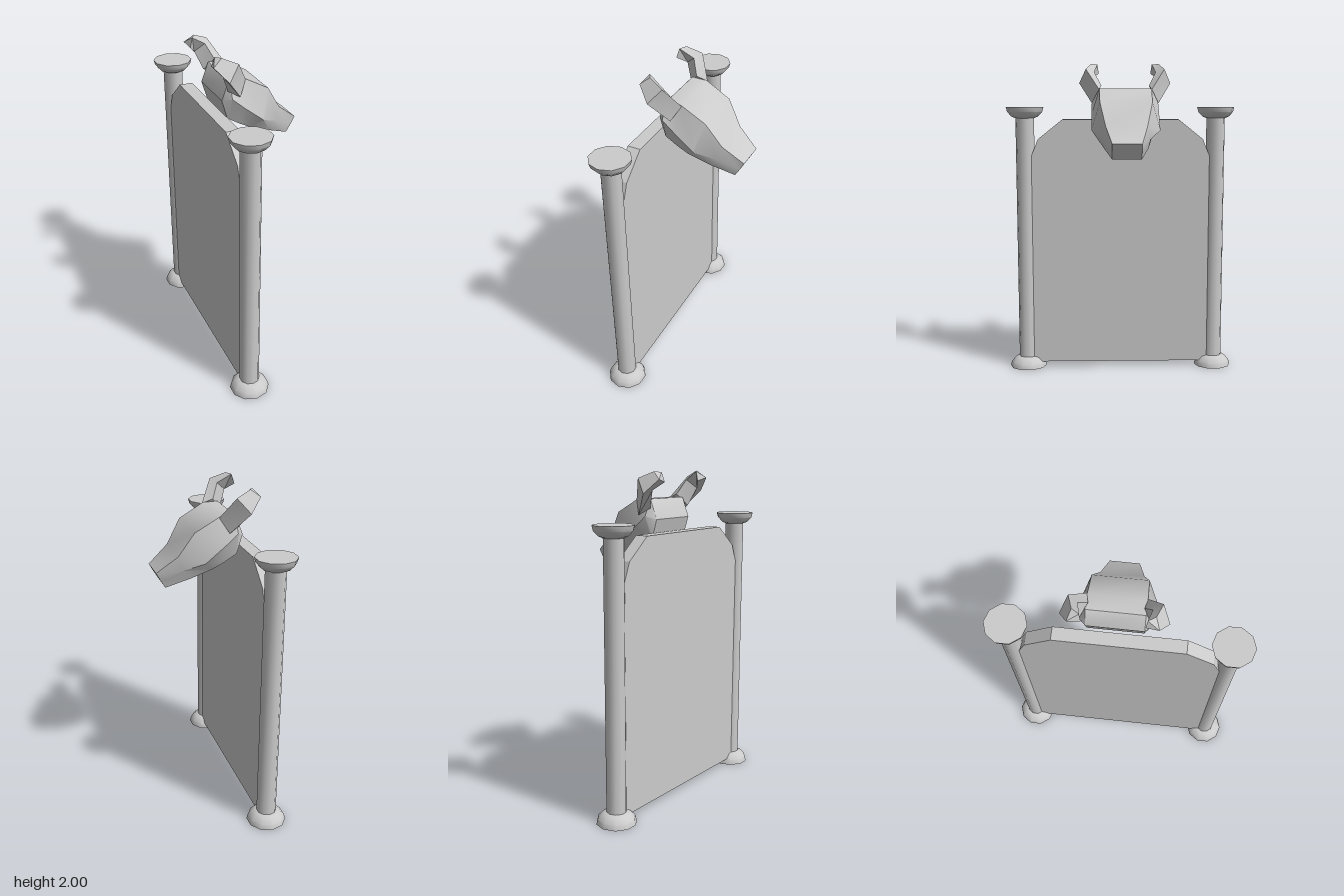
import * as THREE from 'three';
import { toCreasedNormals } from 'three/addons/utils/BufferGeometryUtils.js';

const material = new THREE.MeshStandardMaterial({ color: 0xcccccc });
const PANEL_X = -0.215; // plane of the posts and panel
const HEAD_Z = -0.027; // the head sits slightly off centre

function part(name, geometry, crease = 0.7) {
  const mesh = new THREE.Mesh(toCreasedNormals(geometry, crease), material);
  mesh.name = name;
  return mesh;
}

// Closed skin through rings of points, capped at both ends and facing outward
function loft(rings) {
  const n = rings[0].length;
  const tris = [];
  const v = (r, i) => new THREE.Vector3(...rings[r][i % n]);
  for (let r = 0; r < rings.length - 1; r++) {
    for (let i = 0; i < n; i++) {
      const a = v(r, i), b = v(r, i + 1), c = v(r + 1, i + 1), d = v(r + 1, i);
      tris.push([a, b, c], [a, c, d]);
    }
  }
  const end = rings.length - 1;
  for (let i = 0; i < n - 2; i++) {
    tris.push([v(0, n - 1), v(0, i + 1), v(0, i)]);
    tris.push([v(end, n - 1), v(end, i), v(end, i + 1)]);
  }
  const centre = v(0, 0);
  let volume = 0;
  for (const [a, b, c] of tris) {
    const p = a.clone().sub(centre), q = b.clone().sub(centre);
    volume += p.cross(q).dot(c.clone().sub(centre));
  }
  if (volume < 0) tris.forEach((t) => t.reverse());
  const geometry = new THREE.BufferGeometry().setFromPoints(tris.flat());
  geometry.computeVertexNormals();
  return geometry;
}

function lathe(points) {
  return new THREE.LatheGeometry(points.map(([r, y]) => new THREE.Vector2(r, y)), 10);
}

// Post with a domed foot and a matching bowl-shaped cap
function createPost(name, z) {
  const post = new THREE.Group();
  post.name = name;
  post.position.set(PANEL_X, 0, z);
  const foot = [[0, 0], [0.121, 0], [0.113, 0.03], [0.085, 0.06], [0.06, 0.07], [0, 0.07]];
  const cap = foot.map(([r, y]) => [r, 1.725 - y]).reverse();
  post.add(
    part('foot', lathe(foot)),
    part('shaft', new THREE.CylinderGeometry(0.06, 0.06, 1.6, 10, 1, true).translate(0, 0.86, 0)),
    part('cap', lathe(cap)),
  );
  return post;
}

// Upright board with chamfered shoulders
function createPanel() {
  const half = [[0.6, 0.035], [0.6, 1.36], [0.579, 1.41], [0.535, 1.52], [0.375, 1.648]];
  const outline = [...half, ...half.map(([z, y]) => [-z, y]).reverse()];
  const shape = new THREE.Shape(outline.map(([z, y]) => new THREE.Vector2(z, y)));
  const geometry = new THREE.ExtrudeGeometry(shape, { depth: 0.08, bevelEnabled: false });
  geometry.rotateY(-Math.PI / 2).translate(PANEL_X + 0.04, 0, 0);
  return part('panel', geometry, 0.3);
}

// Animal head: each station gives [x, y, half width] at top, cheek and jaw
function createHead() {
  const stations = [
    [[-0.137, 1.838, 0.162], [-0.18, 1.725, 0.162], [-0.147, 1.612, 0.16]],
    [[-0.133, 1.842, 0.163], [-0.135, 1.745, 0.213], [-0.14, 1.607, 0.163]],
    [[-0.04, 1.84, 0.163], [-0.06, 1.68, 0.213], [-0.07, 1.565, 0.163]],
    [[0.11, 1.757, 0.16], [0.06, 1.585, 0.213], [0, 1.53, 0.162]],
    [[0.2, 1.612, 0.126], [0.18, 1.53, 0.145], [0.13, 1.475, 0.135]],
    [[0.325, 1.512, 0.089], [0.298, 1.463, 0.089], [0.27, 1.417, 0.088]],
  ];
  const rings = stations.map(([top, cheek, jaw]) => [
    [top, -1], [top, 1], [cheek, 1], [jaw, 1], [jaw, -1], [cheek, -1],
  ].map(([[x, y, w], side]) => [x, y, HEAD_Z + side * w]));
  return part('head', loft(rings), 0.6);
}

// Four-sided horn bending up, out and back in; z is measured from the head's middle
function createHorn(name, side) {
  const rings = [
    [[-0.035, 1.835, 0.165], [-0.085, 1.75, 0.21], [-0.155, 1.79, 0.19], [-0.1, 1.86, 0.15]],
    [[-0.11, 1.963, 0.248], [-0.183, 1.877, 0.292], [-0.198, 1.895, 0.225], [-0.14, 1.945, 0.195]],
    [[-0.2, 2.0, 0.217], [-0.256, 1.958, 0.24], [-0.242, 1.94, 0.167], [-0.225, 1.997, 0.175]],
  ];
  return part(name, loft(rings.map((ring) =>
    ring.map(([x, y, z]) => [x, y, HEAD_Z + side * z]))), 0.4);
}

export function createModel() {
  const model = new THREE.Group();
  model.name = 'headboardWithHornedHead';
  model.add(
    createPost('frontPost', 0.62),
    createPost('backPost', -0.62),
    createPanel(),
    createHead(),
    createHorn('frontHorn', 1),
    createHorn('backHorn', -1),
  );
  return model;
}
